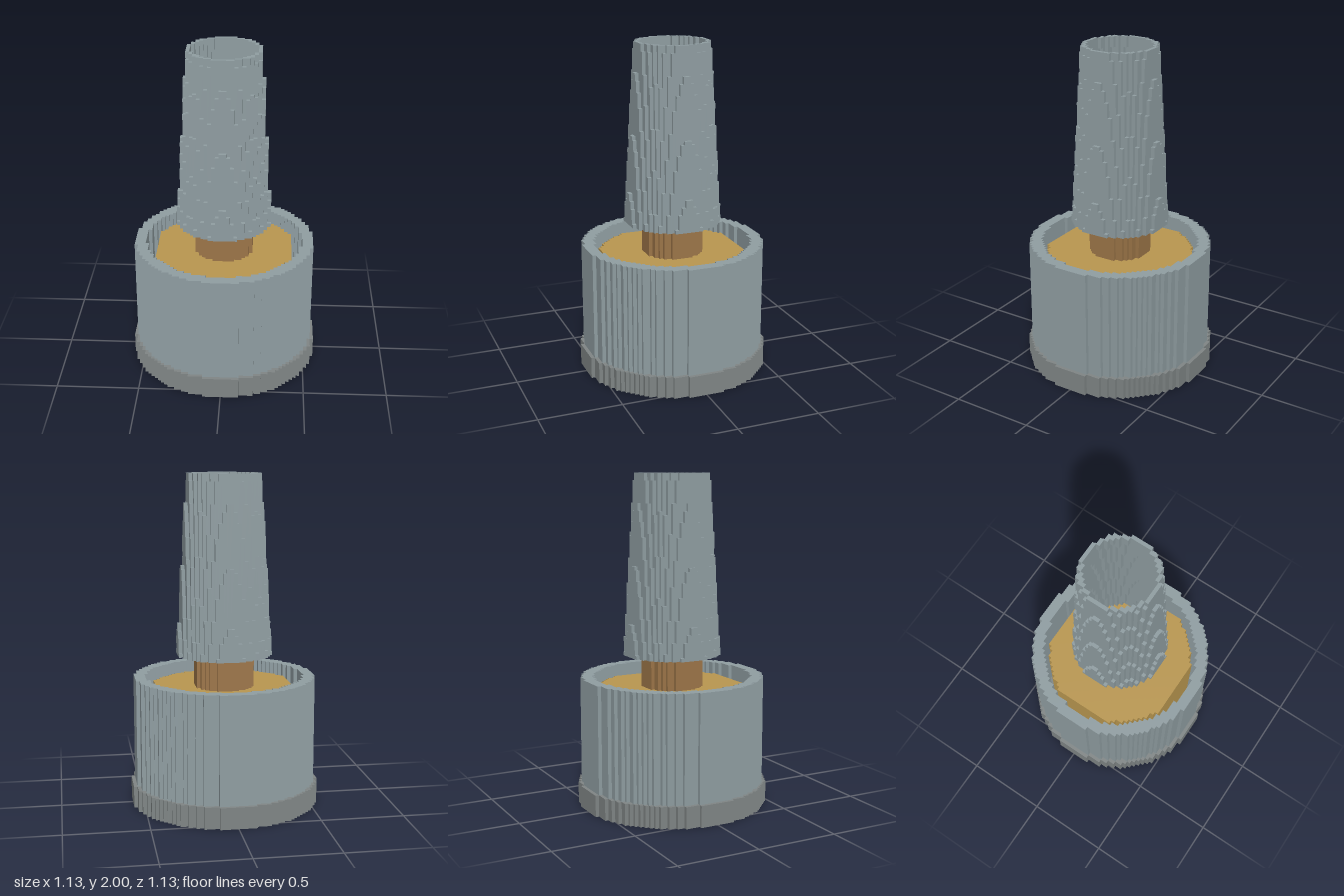
import * as THREE from 'three';

const UNIT = 2 / 92; // size of one cube; the model is 92 cubes tall
const HALF = 26;     // widest radius in cubes
const HEIGHT = 92;

// Sleeve radius tapers from 13 cubes at its foot to 10 at its top
const sleeveRadius = (y) => 13 - 3 * (y - 42) / 50;

// Each part is a solid of revolution, tested at the cube centres
const parts = [
  { name: 'basePlate', color: 0x7f8585, has: (r, y) => y < 6 && r <= 26 },
  { name: 'housing', color: 0x8f9da1, has: (r, y) => y >= 6 && y < 36 && r <= 25 && r > 21.9 },
  { name: 'core', color: 0x9c7548, has: (r, y) => y >= 6 && y < 46 && r <= 8 },
  { name: 'coil', color: 0xb8964f,
    has: (r, y, x, z) => y >= 6 && y < 33 && r > 8 && r <= 20.4 && Math.max(Math.abs(x), Math.abs(z)) < 19 },
  { name: 'taperedSleeve', color: 0x8f9da1,
    has: (r, y) => y >= 42 && r <= sleeveRadius(y) && r > sleeveRadius(y) - 1.02 },
];

// Index of the part filling a cube, or -1 when empty
function partAt(i, y, k) {
  if (y < 0 || y >= HEIGHT) return -1;
  const x = i + 0.5, z = k + 0.5, r = Math.hypot(x, z);
  return parts.findIndex((p) => p.has(r, y, x, z));
}

// Corners of a quad go anticlockwise as seen from outside
function addQuad(out, a, b, c, d) {
  for (const p of [a, b, c, a, c, d]) out.push(p[0] * UNIT, p[1] * UNIT, p[2] * UNIT);
}

// Upright face of a cube column between heights y0 and y1
function addSide(out, i, k, dx, dz, y0, y1) {
  const cx = i + 0.5 + dx / 2, cz = k + 0.5 + dz / 2;
  const tx = dz / 2, tz = -dx / 2;
  addQuad(out, [cx - tx, y0, cz - tz], [cx + tx, y0, cz + tz],
    [cx + tx, y1, cz + tz], [cx - tx, y1, cz - tz]);
}

export function createModel() {
  const group = new THREE.Group();
  const faces = parts.map(() => []);
  const directions = [[1, 0], [-1, 0], [0, 1], [0, -1]];

  for (let i = -HALF; i < HALF; i++) {
    for (let k = -HALF; k < HALF; k++) {
      const column = (a, b) => Array.from({ length: HEIGHT }, (_, y) => partAt(a, y, b));
      const own = column(i, k);

      // Exposed sides, joined into tall strips
      for (const [dx, dz] of directions) {
        const next = column(i + dx, k + dz);
        let start = 0, current = -1;
        for (let y = 0; y <= HEIGHT; y++) {
          const id = y < HEIGHT && next[y] < 0 ? own[y] : -1;
          if (id === current) continue;
          if (current >= 0) addSide(faces[current], i, k, dx, dz, start, y);
          start = y;
          current = id;
        }
      }

      // Exposed tops and undersides
      for (let y = 0; y < HEIGHT; y++) {
        if (own[y] < 0) continue;
        const out = faces[own[y]];
        if (y === HEIGHT - 1 || own[y + 1] < 0) {
          addQuad(out, [i, y + 1, k], [i, y + 1, k + 1], [i + 1, y + 1, k + 1], [i + 1, y + 1, k]);
        }
        if (y === 0 || own[y - 1] < 0) {
          addQuad(out, [i, y, k], [i + 1, y, k], [i + 1, y, k + 1], [i, y, k + 1]);
        }
      }
    }
  }

  parts.forEach((part, id) => {
    const geometry = new THREE.BufferGeometry();
    geometry.setAttribute('position', new THREE.Float32BufferAttribute(faces[id], 3));
    geometry.computeVertexNormals();
    const material = new THREE.MeshStandardMaterial({ color: part.color });
    const mesh = new THREE.Mesh(geometry, material);
    mesh.name = part.name;
    group.add(mesh);
  });
  return group;
}
